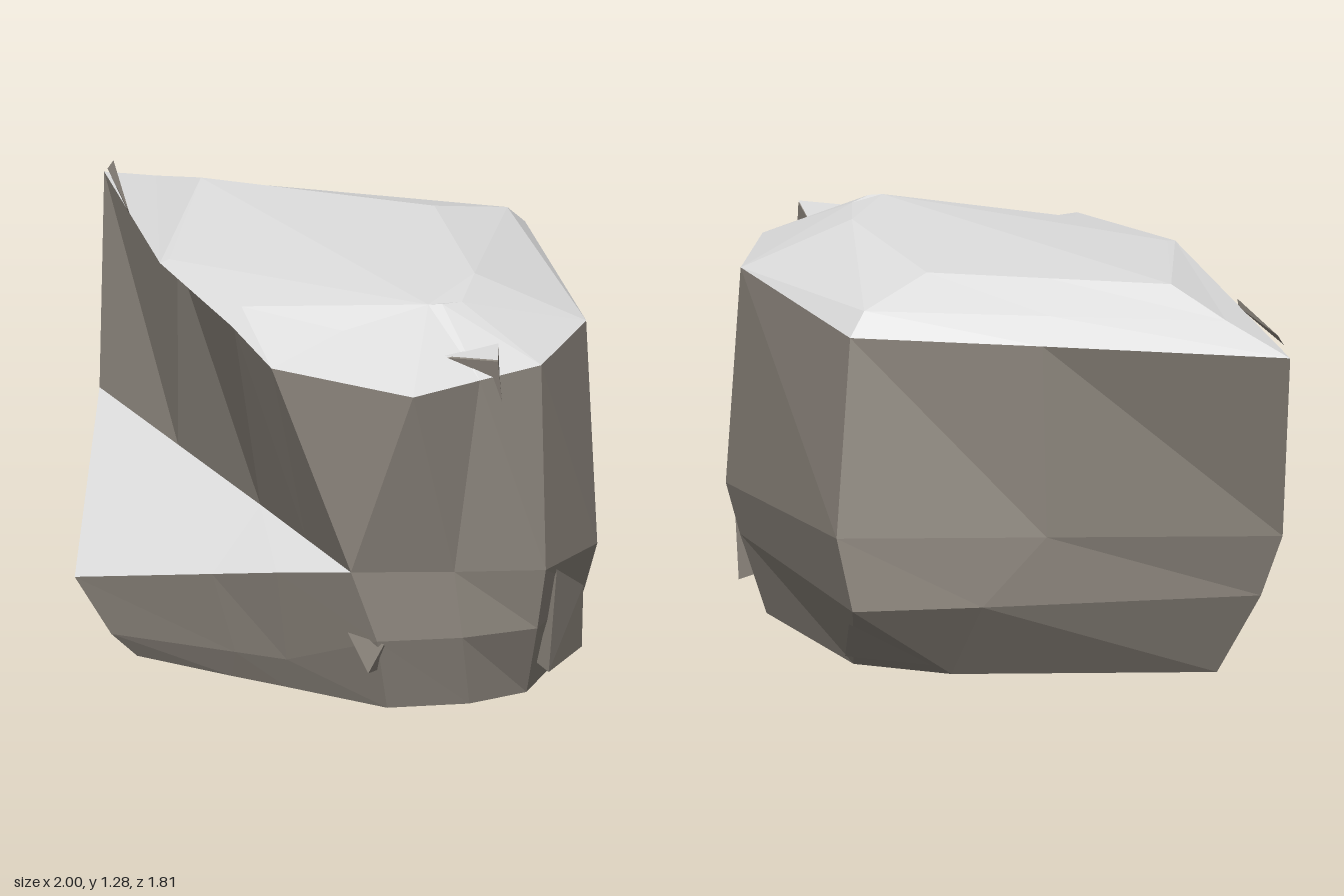
import * as THREE from 'three';
import { ConvexGeometry } from 'three/addons/geometries/ConvexGeometry.js';

// Rings of ten corners, from the back left round the front and right to the back.
const base = [
  [-0.69, 0, -0.46], [-0.4, 0, 0.48], [-0.05, 0, 0.56], [0.15, 0, 0.6], [0.52, 0, 0.68],
  [0.75, 0, 0.55], [0.88, 0, 0.38], [0.86, 0, 0.02], [0.46, 0, -0.58], [0.13, 0, -0.65],
];
const low = [
  [-0.85, 0.28, -0.55], [-0.48, 0.07, 0.5], [-0.02, 0.1, 0.61], [0.17, 0.11, 0.65], [0.52, 0.25, 0.77],
  [0.76, 0.25, 0.64], [0.95, 0.25, 0.47], [0.95, 0.25, 0.04], [0.4, 0.25, -0.9], [0, 0.26, -0.8],
];
const ledgeOuter = [
  [-0.93, 0.49, -0.6], [-0.6, 0.25, 0.51], [-0.08, 0.37, 0.66], [0.17, 0.43, 0.74], [0.45, 0.49, 0.82],
  [0.74, 0.475, 0.66], [0.99, 0.46, 0.5], [1, 0.41, 0.06], [0.45, 0.49, -0.91], [-0.2, 0.49, -0.764],
];
// The foot of the upper wall steps back from the ledge at the front left.
const ledgeInner = ledgeOuter.map((p) => p);
ledgeInner[1] = [-0.5, 0.49, -0.16];
ledgeInner[2] = [-0.05, 0.49, 0.3];
ledgeInner[3] = [0.2, 0.49, 0.56];
const wallTop = [
  [-1, 1.13, -0.83], [-0.45, 1.17, -0.02], [-0.02, 1.19, 0.62], [0.17, 1.13, 0.79], [0.69, 1.13, 0.9],
  [0.83, 1.13, 0.67], [0.96, 1.13, 0.46], [0.94, 1.13, 0], [0.42, 1.13, -0.84], [-0.2, 1.13, -0.83],
];
// The rim overhangs the wall at the front left.
const rim = wallTop.map((p) => p);
rim[1] = [-0.42, 1.23, 0.22];
rim[2] = [-0.02, 1.2, 0.64];
// A shoulder breaks the slope along the back.
const shoulder = rim.map((p) => p);
shoulder[0] = [-0.76, 1.2, -0.66];
shoulder[8] = [0.39, 1.2, -0.76];
shoulder[9] = [-0.2, 1.2, -0.71];
const plateau = [
  [-0.55, 1.27, -0.5], [-0.4, 1.236, 0.19], [-0.04, 1.22, 0.5], [0.33, 1.205, 0.57], [0.57, 1.28, 0.44],
  [0.61, 1.28, 0.42], [0.65, 1.27, 0.35], [0.6, 1.28, 0.1], [0.24, 1.27, -0.5], [-0.15, 1.27, -0.5],
];

// Drop triangles with no area, where rings share corners.
const solid = (tris) => tris.filter(([a, b, c]) => a !== b && b !== c && a !== c);

// Join two rings with triangles.
function band(lower, upper) {
  return solid(lower.flatMap((a, i) => {
    const j = (i + 1) % lower.length;
    return [[a, lower[j], upper[i]], [lower[j], upper[j], upper[i]]];
  }));
}

// Close a ring with a fan from one point.
function cap(ring, hub, facingDown) {
  return solid(ring.map((a, i) => {
    const b = ring[(i + 1) % ring.length];
    return facingDown ? [hub, b, a] : [hub, a, b];
  }));
}

export function createModel() {
  const group = new THREE.Group();
  const sideStone = new THREE.MeshStandardMaterial({ color: 0x928b82, flatShading: true });
  sideStone.name = 'sideStone';
  const topStone = new THREE.MeshStandardMaterial({ color: 0xe0e0e0, flatShading: true });
  topStone.name = 'topStone';

  function add(name, geometry, material) {
    const mesh = new THREE.Mesh(geometry, material);
    mesh.name = name;
    group.add(mesh);
  }
  function addFaces(name, tris, material) {
    const geometry = new THREE.BufferGeometry();
    geometry.setAttribute('position', new THREE.Float32BufferAttribute(tris.flat(2), 3));
    geometry.computeVertexNormals();
    add(name, geometry, material);
  }

  // Rock body
  addFaces('underside', cap(base, [0.1, 0, 0], true), sideStone);
  addFaces('foot', band(base, low), sideStone);
  addFaces('lowerWall', band(low, ledgeOuter), sideStone);
  addFaces('ledge', band(ledgeOuter, ledgeInner), topStone);
  addFaces('upperWall', band(ledgeInner, wallTop), sideStone);
  addFaces('overhang', band(wallTop, rim), sideStone);
  addFaces('backSlope', band(rim, shoulder), topStone);
  addFaces('topSlope', band(shoulder, plateau), topStone);
  addFaces('plateau', cap(plateau, plateau[4], false), topStone);

  // Loose splinters on the edges
  const splinters = {
    cornerSplinter: [[0.66, 1.18, 0.64], [0.8, 1.18, 0.42], [0.88, 1.19, 0.64], [0.88, 0.92, 0.57]],
    rightSplinter: [[0.97, 0.09, 0.42], [0.97, 0.08, 0.12], [0.99, 0.43, 0.4], [0.99, 0.3, 0.16], [0.86, 0.09, 0.3]],
    frontSplinter: [[0.42, 0.27, 0.77], [0.49, 0.14, 0.77], [0.54, 0.24, 0.76], [0.52, 0.14, 0.68]],
    backSplinter: [[0.18, 0.05, -0.74], [0.46, 0.06, -0.72], [0.42, 0.2, -0.86], [0.35, 0.02, -0.58]],
    leftRimSplinter: [[-0.95, 1.19, -0.78], [-0.73, 1.19, -0.33], [-0.97, 1.16, -0.78], [-0.74, 1.17, -0.36]],
  };
  for (const [name, corners] of Object.entries(splinters)) {
    add(name, new ConvexGeometry(corners.map((p) => new THREE.Vector3(...p))), sideStone);
  }
  // Pale upper face of the corner splinter
  addFaces('cornerSplinterTop', [[[0.66, 1.185, 0.64], [0.88, 1.195, 0.64], [0.8, 1.185, 0.42]]], topStone);
  return group;
}
